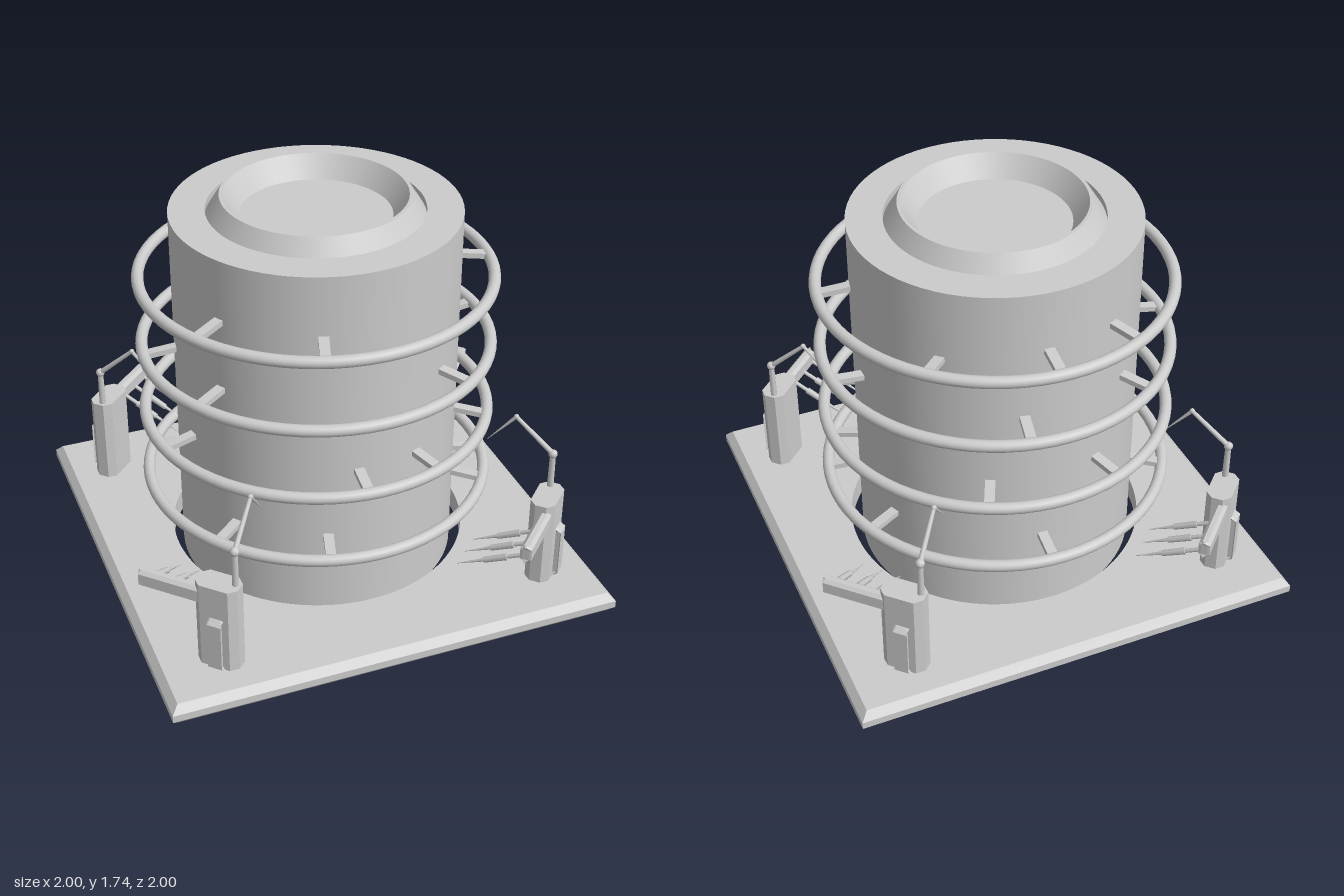
import * as THREE from 'three';
import { mergeGeometries } from 'three/addons/utils/BufferGeometryUtils.js';

const material = new THREE.MeshStandardMaterial({ color: 0xcccccc });
const flat = new THREE.MeshStandardMaterial({ color: 0xcccccc, flatShading: true });

function add(parent, name, geometry, mat = material) {
  const mesh = new THREE.Mesh(geometry, mat);
  mesh.name = name;
  parent.add(mesh);
  return mesh;
}

// Lathe with a sharp edge at every profile point
function creasedLathe(profile, segments) {
  const bands = [];
  for (let i = 0; i < profile.length - 1; i++) {
    const pair = [profile[i], profile[i + 1]].map(([r, y]) => new THREE.Vector2(r, y));
    bands.push(new THREE.LatheGeometry(pair, segments));
  }
  return mergeGeometries(bands);
}

// Tapered rod between two points
function rod(parent, name, a, b, ra, rb, sides = 8) {
  const from = new THREE.Vector3(...a), to = new THREE.Vector3(...b);
  const dir = to.clone().sub(from);
  const mesh = add(parent, name, new THREE.CylinderGeometry(rb, ra, dir.length(), sides));
  mesh.position.copy(from).add(to).multiplyScalar(0.5);
  mesh.quaternion.setFromUnitVectors(new THREE.Vector3(0, 1, 0), dir.normalize());
  return mesh;
}

// Upright prism with cut corners, centred on x and z
function cutPrism(w, d, h, c, bevel = 0) {
  const x = w / 2 - bevel, z = d / 2 - bevel;
  const shape = new THREE.Shape([
    [-x + c, -z], [x - c, -z], [x, -z + c], [x, z - c],
    [x - c, z], [-x + c, z], [-x, z - c], [-x, -z + c],
  ].map(p => new THREE.Vector2(...p)));
  return new THREE.ExtrudeGeometry(shape, {
    depth: h - 2 * bevel, bevelEnabled: bevel > 0,
    bevelSize: bevel, bevelThickness: bevel, bevelSegments: 1,
  }).rotateX(-Math.PI / 2).translate(0, bevel, 0);
}

// Square plate with a round hole and chamfered outer edges
function plateGeometry() {
  const shape = new THREE.Shape([[-1, -1], [1, -1], [1, 1], [-1, 1]].map(p => new THREE.Vector2(...p)));
  const hole = new THREE.Path();
  hole.absarc(0, 0.015, 0.66, 0, Math.PI * 2, true);
  shape.holes.push(hole);
  const g = new THREE.ExtrudeGeometry(shape, { depth: 0.1, steps: 3, bevelEnabled: false, curveSegments: 64 });
  g.rotateX(-Math.PI / 2);
  const p = g.attributes.position;
  for (let i = 0; i < p.count; i++) {
    const y = p.getY(i);
    if (Math.abs(p.getX(i)) > 0.9 && (y < 0.01 || y > 0.09)) {
      p.setX(i, p.getX(i) * 0.97);
      p.setZ(i, p.getZ(i) * 0.97);
    }
  }
  g.computeVertexNormals();
  return g;
}

// Corner station: local z points outwards, x runs along the bar
function buildStation() {
  const s = new THREE.Group();

  add(s, 'pillar', cutPrism(0.19, 0.11, 0.41, 0.03), flat).position.set(0.04, 0.095, 1.06);
  add(s, 'pillarPanel', cutPrism(0.11, 0.06, 0.26, 0.012, 0.02), flat).position.set(0.05, 0.095, 1.11);

  // Tool bar with three drooping probes
  add(s, 'toolBar', cutPrism(0.36, 0.05, 0.08, 0.015, 0.014), flat).position.set(-0.15, 0.395, 1.08);
  for (const x of [-0.29, -0.2, -0.11]) {
    const at = t => [x, 0.42 - 0.14 * t, 1.07 - 0.29 * t];
    rod(s, 'probeStem', at(0), at(0.3), 0.009, 0.009);
    rod(s, 'probeBody', at(0.25), at(0.6), 0.015, 0.013);
    rod(s, 'probeTip', at(0.6), at(1), 0.008, 0.001);
  }

  // Jointed arm reaching inwards
  const base = [0.11, 0.49, 1.05], joint = [0.11, 0.67, 1.05];
  const elbow = [0.1, 0.82, 0.88], tip = [0.09, 0.68, 0.76];
  rod(s, 'armPost', base, joint, 0.015, 0.013);
  rod(s, 'forearm', joint, elbow, 0.012, 0.009);
  rod(s, 'armNeedle', elbow, tip, 0.009, 0.001);
  add(s, 'armJoint', new THREE.SphereGeometry(0.02, 12, 8)).position.set(...joint);
  add(s, 'armElbow', new THREE.SphereGeometry(0.012, 10, 6)).position.set(...elbow);
  return s;
}

export function createModel() {
  const model = new THREE.Group();
  model.name = 'model';
  add(model, 'basePlate', plateGeometry());

  const tank = new THREE.Group();
  tank.name = 'tank';
  tank.position.set(-0.004, 0, -0.015);
  model.add(tank);

  // Drum with a raised funnel rim set into its top
  add(tank, 'drum', creasedLathe([
    [0, 0.03], [0.46, 0.03], [0.46, 0.025], [0.613, 0.025], [0.613, 1.675], [0.459, 1.675],
    [0.459, 1.645], [0.4, 1.74], [0.385, 1.74], [0.32, 1.645], [0, 1.645],
  ], 72));

  // Hoops, each with its own spoke angles in degrees from the front
  const hoops = [
    { y: 1.38, spokes: [-18, -60, 79, 136, 177, 207] },
    { y: 1.063, spokes: [-60, 37, 92, 168, 216, 263] },
    { y: 0.735, spokes: [-4, 22, 59, 155, 200, 281] },
    { y: 0.416, spokes: [-54, -16, 57, 75, 112, 176, 240] },
  ];
  const lowered = [92, 136];
  for (const { y, spokes } of hoops) {
    const hoop = add(tank, 'hoop', new THREE.TorusGeometry(0.752, 0.026, 16, 72).rotateX(Math.PI / 2));
    hoop.position.y = y;
    for (const angle of spokes) {
      const pivot = new THREE.Group();
      pivot.name = 'spokeMount';
      pivot.position.y = y;
      pivot.rotation.y = THREE.MathUtils.degToRad(angle);
      const side = lowered.includes(angle) ? -1 : 1;
      const spoke = add(pivot, 'spoke', new THREE.BoxGeometry(0.043, 0.024, 0.16));
      spoke.position.set(0, 0.013 * side, 0.675);
      spoke.rotation.x = 0.13 * side;
      tank.add(pivot);
    }
  }

  // Four stations turned around the centre
  for (let i = 0; i < 4; i++) {
    const station = buildStation();
    station.name = 'cornerStation';
    station.rotation.y = Math.PI / 4 + i * Math.PI / 2;
    model.add(station);
  }
  return model;
}
